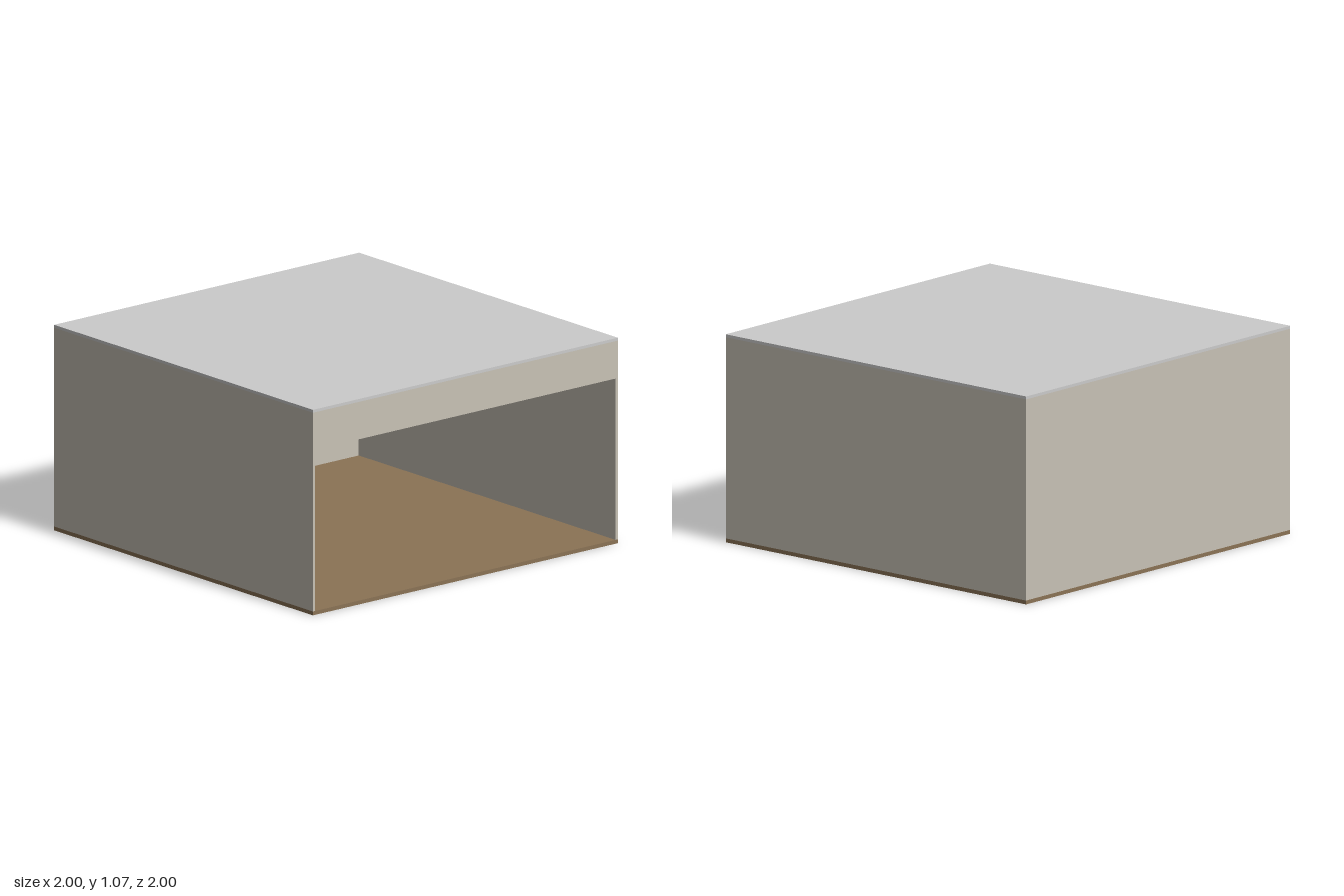
import * as THREE from 'three';

const SIZE = 2;          // footprint
const WALL = 0.015;      // wall thickness
const FLOOR_TOP = 0.02;
const WALL_TOP = 1.055;
const ROOF_TOP = 1.07;
const OPENING_TOP = 0.86;

export function createModel() {
  const group = new THREE.Group();
  group.name = 'openFrontRoom';

  const floorMat = new THREE.MeshStandardMaterial({ color: 0x8b7355 });
  const wallMat = new THREE.MeshStandardMaterial({ color: 0xc8c2b6 });
  const roofMat = new THREE.MeshStandardMaterial({ color: 0xc0c0bc });

  // Box spanning y0..y1, centred on x and z
  const slab = (name, mat, w, d, y0, y1, x = 0, z = 0) => {
    const mesh = new THREE.Mesh(new THREE.BoxGeometry(w, y1 - y0, d), mat);
    mesh.name = name;
    mesh.position.set(x, (y0 + y1) / 2, z);
    group.add(mesh);
  };

  const edge = (SIZE - WALL) / 2;
  const inner = SIZE - 2 * WALL;

  // Floor and flat roof
  slab('floor', floorMat, SIZE, SIZE, 0, FLOOR_TOP);
  slab('roof', roofMat, SIZE, SIZE, WALL_TOP, ROOF_TOP);

  // Side walls run the full depth; back wall and lintel fit between them
  slab('leftWall', wallMat, WALL, SIZE, FLOOR_TOP, WALL_TOP, edge);
  slab('rightWall', wallMat, WALL, SIZE, FLOOR_TOP, WALL_TOP, -edge);
  slab('backWall', wallMat, inner, WALL, FLOOR_TOP, WALL_TOP, 0, -edge);
  slab('frontLintel', wallMat, inner, WALL, OPENING_TOP, WALL_TOP, 0, edge);

  return group;
}
